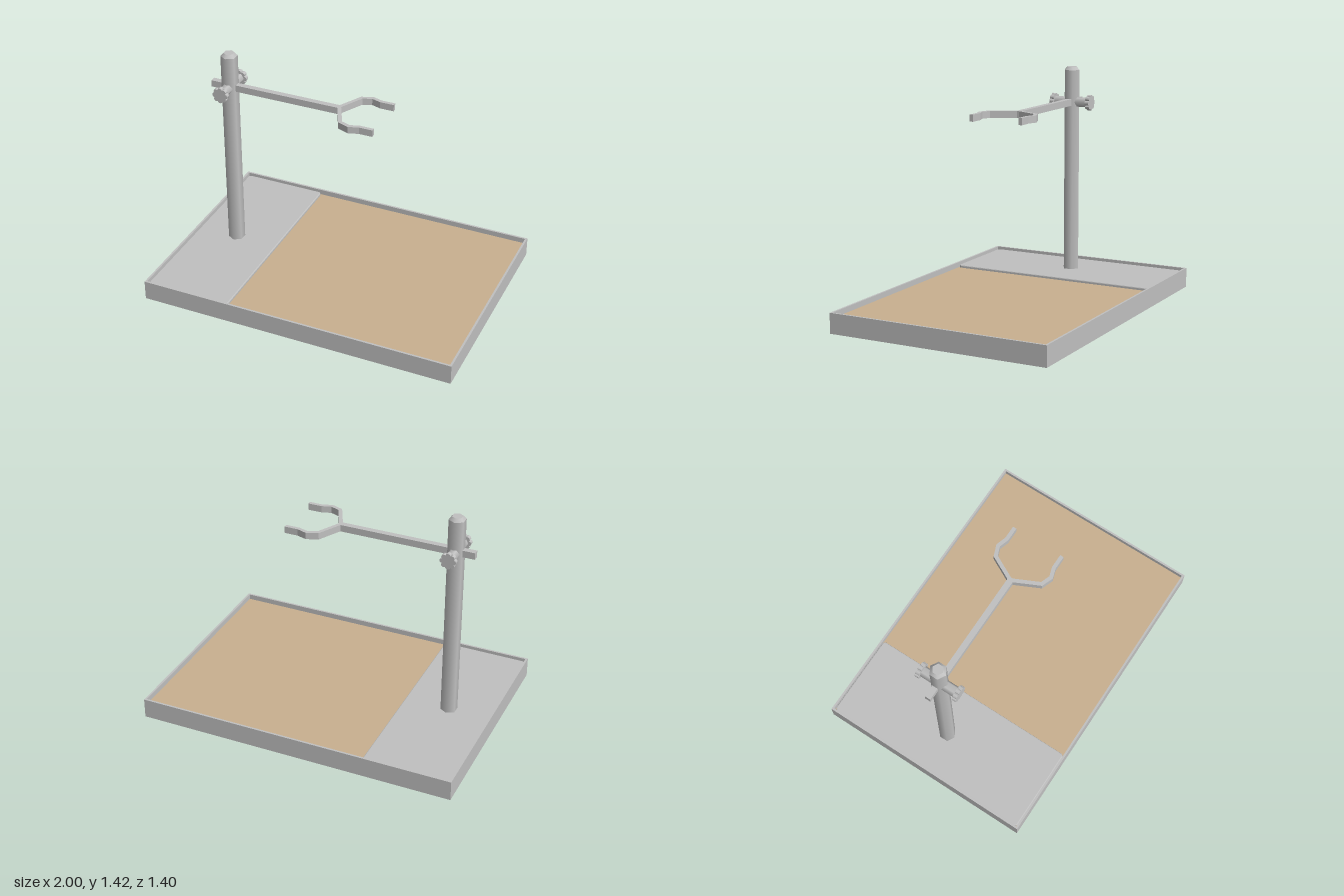
import * as THREE from 'three';

const POLE_X = -0.725;
const ARM_Y = 1.2;

// Rounded rectangle, counter-clockwise
function roundedRect(x0, y0, x1, y1, r) {
  const s = new THREE.Shape();
  s.absarc(x1 - r, y0 + r, r, -Math.PI / 2, 0);
  s.absarc(x1 - r, y1 - r, r, 0, Math.PI / 2);
  s.absarc(x0 + r, y1 - r, r, Math.PI / 2, Math.PI);
  s.absarc(x0 + r, y0 + r, r, Math.PI, Math.PI * 1.5);
  s.closePath();
  return s;
}

// Extrude a plan shape (x, z) downward from height top
function slab(shape, top, depth, bevel = 0) {
  const geo = new THREE.ExtrudeGeometry(shape, {
    depth: depth - bevel, curveSegments: 4, bevelEnabled: bevel > 0,
    bevelThickness: bevel, bevelSize: bevel, bevelOffset: -bevel, bevelSegments: 2,
  });
  return geo.rotateX(Math.PI / 2).translate(0, top - bevel, 0);
}

// Constant-width strip along a polyline, with mitred corners
function strip(path, width) {
  const pts = path.map(([x, y]) => new THREE.Vector2(x, y));
  const left = [], right = [];
  pts.forEach((p, i) => {
    const a = p.clone().sub(pts[Math.max(i - 1, 0)]).normalize();
    const b = pts[Math.min(i + 1, pts.length - 1)].clone().sub(p).normalize();
    const t = a.clone().add(b).normalize();
    const along = i ? a : b;
    const n = new THREE.Vector2(-t.y, t.x).multiplyScalar(width / 2 / t.dot(along));
    left.push(p.clone().add(n));
    right.push(p.clone().sub(n));
  });
  return new THREE.Shape([...right, ...left.reverse()]);
}

export function createModel() {
  const model = new THREE.Group();
  model.name = 'clampStand';
  const metal = new THREE.MeshStandardMaterial({ color: 0xc0c0c0 });
  metal.name = 'grey metal';
  const board = new THREE.MeshStandardMaterial({ color: 0xc8b08f });
  board.name = 'tan board';

  const add = (name, geo, mat = metal, parent = model) => {
    const mesh = new THREE.Mesh(geo, mat);
    mesh.name = name;
    parent.add(mesh);
    return mesh;
  };

  // Tray: floor and a thin raised rim
  add('trayFloor', new THREE.BoxGeometry(1.98, 0.08, 1.38).translate(0, 0.04, 0));
  const rim = new THREE.Shape([[-1, -0.7], [1, -0.7], [1, 0.7], [-1, 0.7]].map((p) => new THREE.Vector2(...p)));
  rim.holes.push(new THREE.Path([[-0.987, -0.687], [-0.987, 0.687], [0.987, 0.687], [0.987, -0.687]].map((p) => new THREE.Vector2(...p))));
  add('trayRim', slab(rim, 0.125, 0.125));

  // Work surface and the mounting plate lying on it
  add('workSurface', new THREE.BoxGeometry(1.974, 0.01, 1.374).translate(0, 0.086, 0), board);
  add('mountingPlate', slab(roundedRect(-0.986, -0.686, -0.443, 0.686, 0.022), 0.108, 0.022, 0.006));

  // Six-sided pole with a tapered top
  add('pole', new THREE.CylinderGeometry(0.052, 0.052, 1.3, 6, 1, true).translate(POLE_X, 0.755, 0));
  add('poleTop', new THREE.CylinderGeometry(0.034, 0.052, 0.02, 6).translate(POLE_X, 1.415, 0));

  // Horizontal arm
  add('arm', new THREE.BoxGeometry(0.855, 0.042, 0.036).translate(-0.4175, ARM_Y, 0));

  // Two bent fork prongs
  for (const side of [-1, 1]) {
    const path = [[-0.006, 0], [0.072, 0.157], [0.135, 0.181], [0.195, 0.162], [0.28, 0.162]];
    const shape = strip(path.map(([x, z]) => [x, side * z + (x > 0 ? 0.005 : 0)]), 0.023);
    add(side > 0 ? 'frontProng' : 'backProng', slab(shape, ARM_Y + 0.021, 0.042));
  }

  // Clamp screw through the pole with a lobed knob at each end
  const clamp = new THREE.Group();
  clamp.name = 'clamp';
  clamp.position.set(POLE_X, ARM_Y, 0);
  model.add(clamp);
  add('clampScrew', new THREE.CylinderGeometry(0.033, 0.033, 0.24, 6).rotateY(Math.PI / 2).rotateX(Math.PI / 2), metal, clamp);

  const outline = [];
  for (let i = 0; i < 48; i++) {
    const a = (i / 48) * Math.PI * 2;
    const r = 0.039 + 0.0105 * Math.sqrt(Math.abs(Math.cos(a * 4)));
    outline.push(new THREE.Vector2(r * Math.cos(a), r * Math.sin(a)));
  }
  const knobGeo = new THREE.ExtrudeGeometry(new THREE.Shape(outline), { depth: 0.026, bevelEnabled: false });
  knobGeo.translate(0, 0, -0.013);
  for (const side of [-1, 1]) {
    add(side > 0 ? 'frontKnob' : 'backKnob', knobGeo, metal, clamp).position.z = side * 0.125;
  }

  return model;
}
